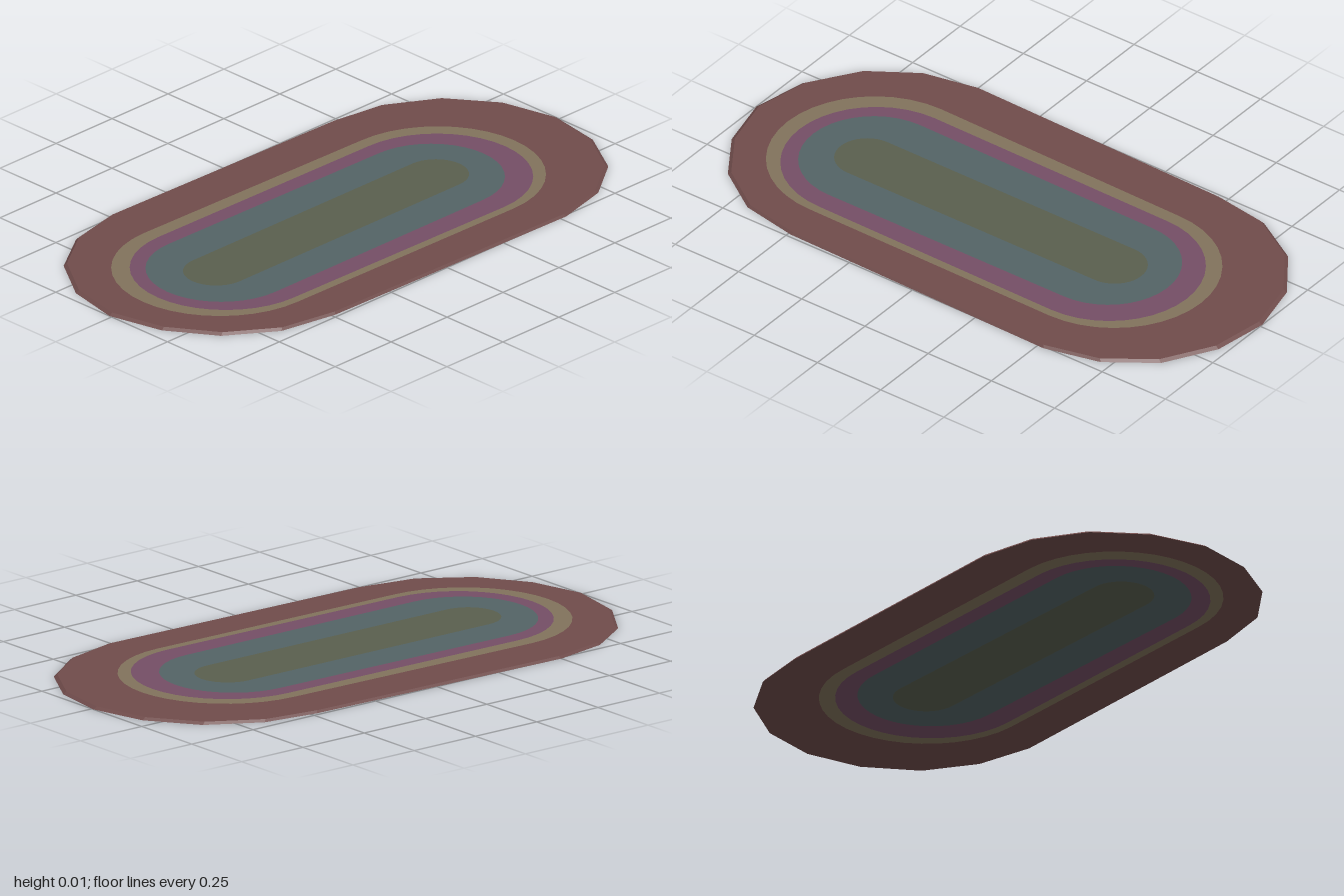
import * as THREE from 'three';

const THICK = 0.008;

// Hand-cut outer edge, as x, z pairs
const EDGE = [
  [-0.01, -1], [0.18, -0.97], [0.35, -0.87], [0.46, -0.715], [0.508, -0.525],
  [0.488, 0.49], [0.45, 0.69], [0.34, 0.85], [0.18, 0.955], [-0.01, 1],
  [-0.2, 0.96], [-0.365, 0.85], [-0.47, 0.69], [-0.51, 0.5],
  [-0.488, -0.48], [-0.46, -0.67], [-0.36, -0.84], [-0.2, -0.955],
].map(([x, z]) => new THREE.Vector2(x, z));

// Rounded band outline: half circles at the back (xb) and front (xf)
function oval(xb, rb, back, xf, rf, front) {
  const pts = [], n = 20;
  for (let i = 0; i <= n; i++) {
    const a = Math.PI + (Math.PI * i) / n;
    pts.push(new THREE.Vector2(xb + rb * Math.cos(a), back + rb + rb * Math.sin(a)));
  }
  for (let i = 0; i <= n; i++) {
    const a = (Math.PI * i) / n;
    pts.push(new THREE.Vector2(xf + rf * Math.cos(a), front - rf + rf * Math.sin(a)));
  }
  return pts;
}

// Flat face of one band, facing up or down
function bandFace(outer, inner, up) {
  const flip = (p) => new THREE.Vector2(p.x, up ? -p.y : p.y);
  const shape = new THREE.Shape(outer.map(flip));
  if (inner) shape.holes.push(new THREE.Path(inner.map(flip)));
  const g = new THREE.ShapeGeometry(shape);
  g.rotateX(up ? -Math.PI / 2 : Math.PI / 2);
  g.translate(0, up ? THICK : 0, 0);
  return g;
}

// Sloping rim between the bottom and top edges
function rimGeometry(bottom, top) {
  const pos = [];
  bottom.forEach((b, i) => {
    const j = (i + 1) % bottom.length;
    const c = bottom[j], t = top[i], u = top[j];
    pos.push(b.x, 0, b.y, t.x, THICK, t.y, u.x, THICK, u.y);
    pos.push(b.x, 0, b.y, u.x, THICK, u.y, c.x, 0, c.y);
  });
  const g = new THREE.BufferGeometry();
  g.setAttribute('position', new THREE.Float32BufferAttribute(pos, 3));
  g.computeVertexNormals();
  return g;
}

export function createModel() {
  const rug = new THREE.Group();
  rug.name = 'rug';
  const mat = (name, color) => {
    const m = new THREE.MeshStandardMaterial({ color });
    m.name = name;
    return m;
  };
  const topEdge = EDGE.map((p) => p.clone().multiplyScalar(0.988));

  // Bands from the border to the centre
  const bands = [
    ['border', mat('dusty red', 0x704c4b), EDGE],
    ['tanStripe', mat('tan', 0x82735c), oval(0.02, 0.342, -0.78, 0.005, 0.345, 0.865)],
    ['plumBand', mat('plum', 0x754e66), oval(0.028, 0.305, -0.73, 0.016, 0.304, 0.81)],
    ['tealBand', mat('grey teal', 0x536466), oval(0.016, 0.234, -0.645, 0.01, 0.24, 0.76)],
    ['centre', mat('olive', 0x5a5f4e), oval(0.014, 0.105, -0.54, 0.012, 0.105, 0.65)],
  ];
  bands.forEach(([name, material, outline], i) => {
    const band = new THREE.Group();
    band.name = name;
    const inner = bands[i + 1]?.[2];
    for (const up of [true, false]) {
      const outer = i === 0 && up ? topEdge : outline;
      const face = new THREE.Mesh(bandFace(outer, inner, up), material);
      face.name = name + (up ? 'Top' : 'Underside');
      band.add(face);
    }
    rug.add(band);
  });

  const rim = new THREE.Mesh(rimGeometry(EDGE, topEdge), bands[0][1]);
  rim.name = 'rim';
  rug.add(rim);
  return rug;
}
